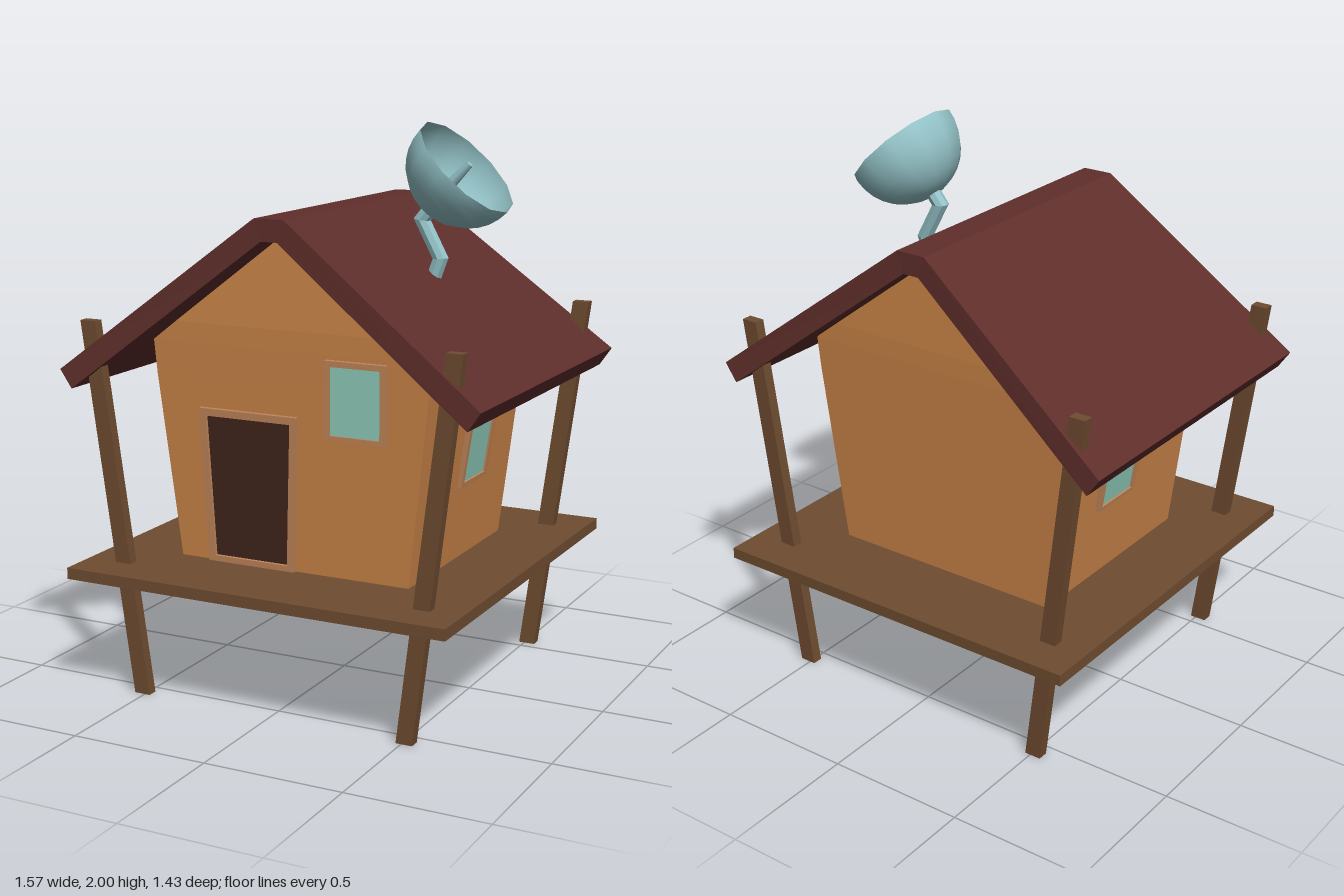
import * as THREE from 'three';

const mat = (color, opts = {}) => new THREE.MeshStandardMaterial({ color, ...opts });
const WOOD = mat(0x6f4c30, { flatShading: true });
const WALL = mat(0xcb8548, { flatShading: true });
const TRIM = mat(0xc08558, { flatShading: true });
const ROOF = mat(0x5f2f2b, { flatShading: true });
const DARK = mat(0x40241c, { flatShading: true });
const GLASS = mat(0x8ecbb9, { flatShading: true });
const METAL = mat(0x94c3c8, { side: THREE.DoubleSide });

const v = (x, y, z) => new THREE.Vector3(x, y, z);

function add(parent, name, geometry, material) {
  const mesh = new THREE.Mesh(geometry, material);
  mesh.name = name;
  parent.add(mesh);
  return mesh;
}

// Closed solid through rings of points (counter-clockwise seen from the last ring)
function loft(rings) {
  const n = rings[0].length, last = rings.length - 1, pts = [];
  for (let i = 0; i < last; i++) {
    for (let j = 0; j < n; j++) {
      const k = (j + 1) % n;
      const a = rings[i][j], b = rings[i][k], c = rings[i + 1][k], d = rings[i + 1][j];
      pts.push(a, b, c, a, c, d);
    }
  }
  for (let j = 1; j < n - 1; j++) {
    pts.push(rings[0][0], rings[0][j + 1], rings[0][j]);
    pts.push(rings[last][0], rings[last][j], rings[last][j + 1]);
  }
  const g = new THREE.BufferGeometry().setFromPoints(pts);
  g.computeVertexNormals();
  return g;
}

// Horizontal rectangle ring
const rect = (cx, y, cz, hx, hz) =>
  [[1, 1], [1, -1], [-1, -1], [-1, 1]].map(([a, b]) => v(cx + a * hx, y, cz + b * hz));

const trapezoid = (wBottom, wTop, y0, y1) => new THREE.Shape([
  new THREE.Vector2(-wBottom, y0), new THREE.Vector2(wBottom, y0),
  new THREE.Vector2(wTop, y1), new THREE.Vector2(-wTop, y1)]);

// Frame with a recessed pane; its front lies on local z = 0
function opening(name, wBottom, wTop, height, border, depth, paneMaterial) {
  const group = new THREE.Group();
  group.name = name;
  const inner = () => trapezoid(wBottom - border, wTop - border, border * 0.8, height - border);
  const outer = trapezoid(wBottom, wTop, 0, height);
  outer.holes.push(inner());
  const frame = new THREE.ExtrudeGeometry(outer, { depth, bevelEnabled: false });
  add(group, name + 'Frame', frame.translate(0, 0, -depth), TRIM);
  const pane = new THREE.ExtrudeGeometry(inner(), { depth: depth * 0.4, bevelEnabled: false });
  add(group, name + 'Pane', pane.translate(0, 0, -depth * 0.8), paneMaterial);
  return group;
}

// Bent roof slab, wider along z at the eaves than at the ridge
function roofGeometry() {
  const half = [[0.785, 1.155], [0.055, 1.705], [0.03, 1.63], [0.74, 1.09]];
  const ring = (s) => half.map(([x, y], i) => ({ x: s * x, y, z: i === 0 || i === 3 ? 0.62 : 0.545 }));
  const [r, l] = [ring(1), ring(-1)];
  const section = [r, [r[0], r[1], r[2], r[3]]][0];
  const sections = [];
  // Sections run from the left eave over the ridge to the right eave
  for (const [top, under] of [[l[0], l[3]], [l[1], l[2]], [section[1], section[2]], [section[0], section[3]]]) {
    sections.push([
      v(under.x, under.y, -under.z), v(top.x, top.y, -top.z),
      v(top.x, top.y, top.z), v(under.x, under.y, under.z)]);
  }
  return loft(sections);
}

// Mitred tube along a bent path in the xy plane
function bentTube(path, radius, sides) {
  const dir = (a, b) => v(b[0] - a[0], b[1] - a[1], 0).normalize();
  return loft(path.map((p, i) => {
    const d0 = dir(path[Math.max(i - 1, 0)], path[Math.max(i, 1)]);
    const d1 = i < path.length - 1 ? dir(p, path[i + 1]) : d0;
    const t = d0.clone().add(d1).normalize();
    const stretch = radius / t.dot(d1);
    return Array.from({ length: sides }, (_, j) => {
      const a = (j / sides) * Math.PI * 2;
      return v(p[0] - t.y * Math.cos(a) * stretch, p[1] + t.x * Math.cos(a) * stretch, Math.sin(a) * radius);
    });
  }));
}

export function createModel() {
  const model = new THREE.Group();
  model.name = 'stiltHut';

  // Platform and leaning stilts
  add(model, 'platform', new THREE.BoxGeometry(1.43, 0.04, 1.43).translate(0, 0.455, 0), WOOD);
  for (const sx of [1, -1]) {
    for (const sz of [1, -1]) {
      add(model, 'stilt', loft([
        rect(sx * 0.51, 0, sz * 0.555, 0.03, 0.019),
        rect(sx * 0.683, 1.328, sz * 0.575, 0.03, 0.019)]), WOOD);
    }
  }

  // House body, flaring up to the eaves and closing under the ridge
  add(model, 'houseBody', loft([
    rect(0, 0.47, 0, 0.44, 0.395),
    rect(0, 1.13, 0, 0.518, 0.417),
    rect(0, 1.25, 0, 0.527, 0.422),
    rect(0, 1.32, 0, 0.436, 0.423),
    rect(0, 1.63, 0, 0.03, 0.412)]), WALL);
  add(model, 'roof', roofGeometry(), ROOF);

  // Door and windows
  const door = opening('door', 0.168, 0.19, 0.55, 0.026, 0.03, DARK);
  door.position.set(-0.155, 0.475, 0.411);
  door.rotation.x = 0.034;
  const frontWindow = opening('frontWindow', 0.113, 0.113, 0.27, 0.02, 0.02, GLASS);
  frontWindow.position.set(0.26, 0.965, 0.443);
  model.add(door, frontWindow);
  for (const s of [1, -1]) {
    const win = opening('sideWindow', 0.112, 0.112, 0.273, 0.02, 0.018, GLASS);
    win.position.set(s * 0.488, 0.75, -0.043);
    win.rotation.set(0.155, s * Math.PI / 2, 0, 'YXZ');
    model.add(win);
  }

  // Satellite dish on a crooked arm
  add(model, 'dishArm', bentTube(
    [[0.335, 1.44], [0.37, 1.535], [0.3, 1.665], [0.345, 1.72]], 0.027, 8), METAL);
  const dish = new THREE.Group();
  dish.name = 'dish';
  add(dish, 'dishBowl',
    new THREE.SphereGeometry(0.208, 12, 8, 0, Math.PI * 2, Math.PI / 2, Math.PI / 2), METAL);
  add(dish, 'dishFeed', new THREE.CylinderGeometry(0.012, 0.028, 0.21, 8).translate(0, -0.09, 0), METAL);
  dish.position.set(0.464, 1.85, 0);
  dish.rotation.z = -Math.PI / 4;
  model.add(dish);

  return model;
}
